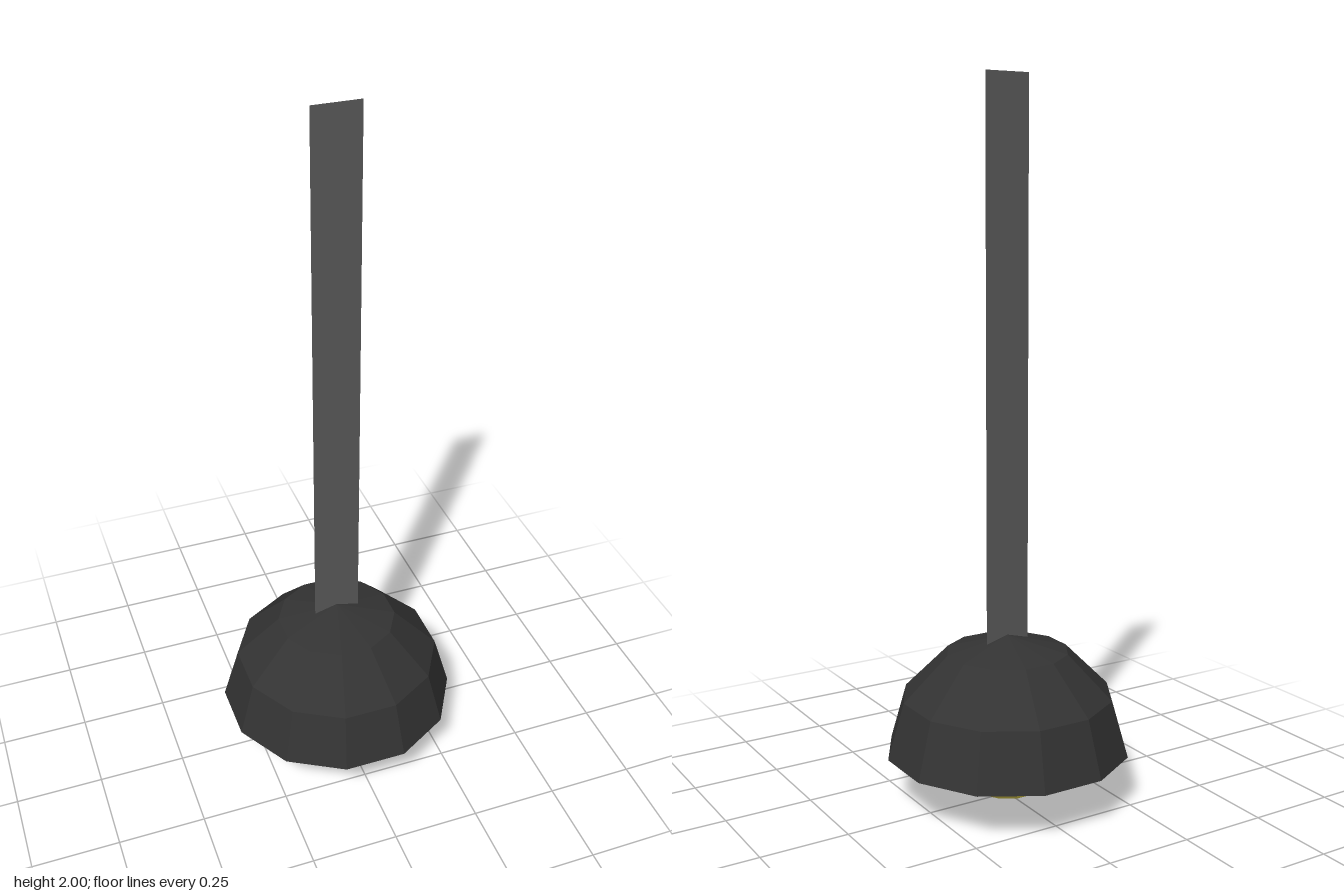
import * as THREE from 'three';

const SIDES = 12;

// Faceted 12-sided solid of revolution, with flats facing the axes
function turned(profile) {
  const points = profile.map(([r, y]) => new THREE.Vector2(r, y));
  return new THREE.LatheGeometry(points, SIDES, Math.PI / SIDES);
}

export function createModel() {
  const shadeBlack = new THREE.MeshStandardMaterial({ color: 0x333333, flatShading: true, side: THREE.DoubleSide });
  const cordGrey = new THREE.MeshStandardMaterial({ color: 0x595959, side: THREE.DoubleSide });
  const bulbYellow = new THREE.MeshStandardMaterial({ color: 0xe0cf4a, flatShading: true });

  const group = new THREE.Group();
  group.name = 'pendantLamp';
  const add = (name, geometry, material) => {
    const mesh = new THREE.Mesh(geometry, material);
    mesh.name = name;
    group.add(mesh);
    return mesh;
  };

  // Open dome shade
  add('shade', turned([[0.345, 0.14], [0.299, 0.3], [0.173, 0.426], [0, 0.471]]), shadeBlack);

  // Round bulb, six bands from pole to pole
  const R = 0.207;
  const bulbProfile = [];
  for (let i = 0; i <= 6; i++) {
    const a = (i * Math.PI) / 6;
    bulbProfile.push([i % 6 ? R * Math.sin(a) : 0, R - R * Math.cos(a)]);
  }
  add('bulb', turned(bulbProfile), bulbYellow);

  // Flat hanging strap
  const bottom = 0.44;
  add('cord', new THREE.PlaneGeometry(0.134, 2 - bottom), cordGrey).position.y = (2 + bottom) / 2;

  return group;
}
